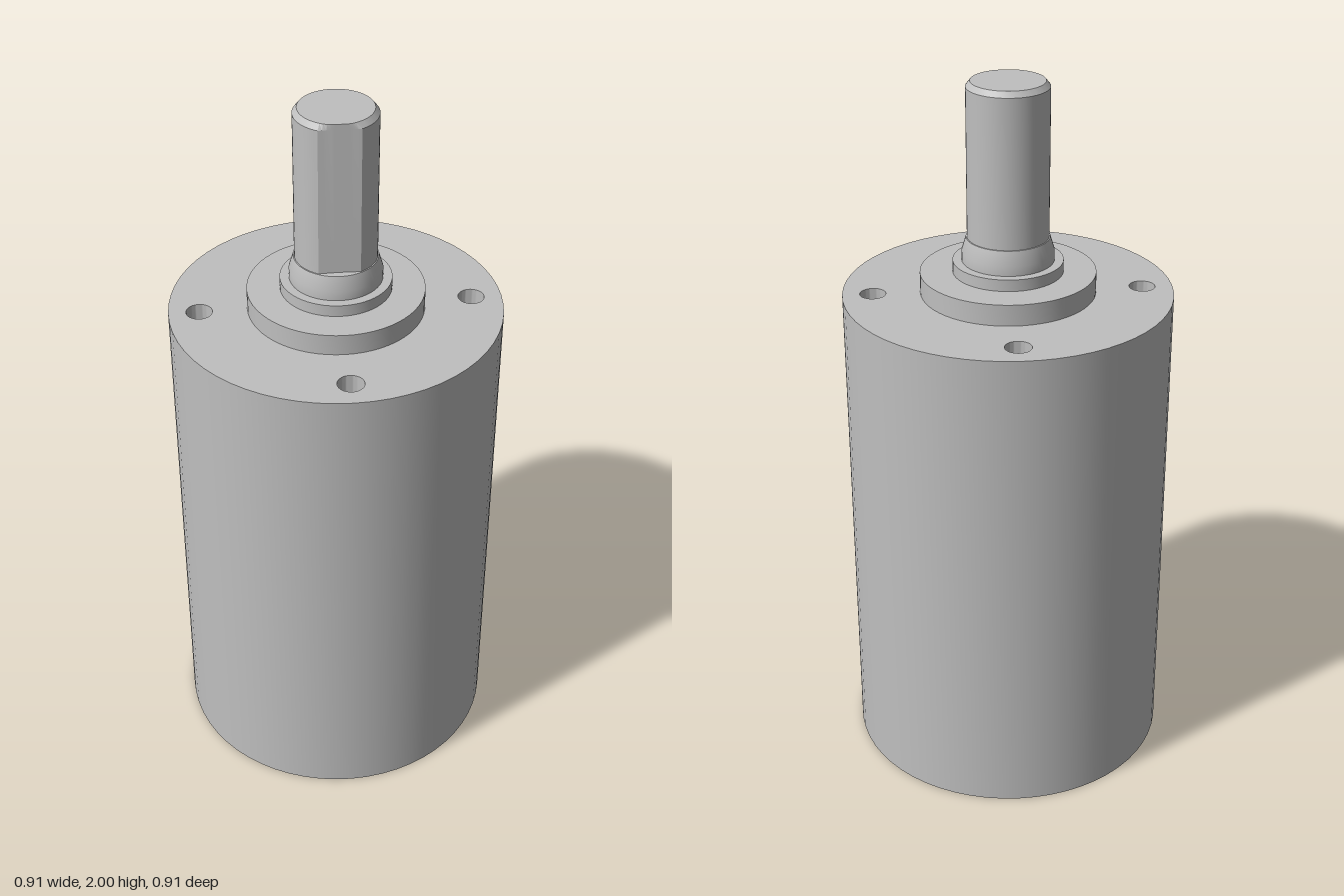
import * as THREE from 'three';
import { toCreasedNormals } from 'three/addons/utils/BufferGeometryUtils.js';

const SEGMENTS = 60;

export function createModel() {
  const model = new THREE.Group();
  model.name = 'gearboxHousing';
  const steel = new THREE.MeshStandardMaterial({ color: 0xbfbfbf });
  steel.name = 'brushed steel grey';

  function add(name, geometry, parent = model) {
    const mesh = new THREE.Mesh(geometry, steel);
    mesh.name = name;
    parent.add(mesh);
    return mesh;
  }

  // Revolved profile of [radius, height] points, solid on the left of the path
  function turned(profile, segments = SEGMENTS) {
    const points = profile.map(([r, y]) => new THREE.Vector2(r, y));
    return new THREE.LatheGeometry(points, segments);
  }
  const crisp = (geometry) => toCreasedNormals(geometry, 0.45);

  // Barrel wall with the stepped bore in its underside
  add('barrel', crisp(turned([
    [0, 0.6], [0.15, 0.6], [0.15, 0.28], [0.41, 0.28], [0.41, 0.26],
    [0.43, 0.26], [0.43, 0.15], [0.442, 0.15], [0.442, 0], [0.456, 0], [0.456, 1.41],
  ])));

  // Top face, pierced by four mounting holes around the pilot
  const holeRadius = 0.036;
  const holeCircle = 0.372;
  const face = new THREE.Shape().absarc(0, 0, 0.456, 0, Math.PI * 2);
  face.holes.push(new THREE.Path().absarc(0, 0, 0.242, 0, Math.PI * 2, true));
  const holes = new THREE.Group();
  holes.name = 'mountingHoles';
  model.add(holes);
  for (let i = 0; i < 4; i++) {
    const a = i * Math.PI / 2;
    const x = holeCircle * Math.cos(a);
    const z = holeCircle * Math.sin(a);
    face.holes.push(new THREE.Path().absarc(x, z, holeRadius, 0, Math.PI * 2, true));
    const well = crisp(turned([[holeRadius, 1.41], [holeRadius, 1.26], [0, 1.26]]));
    add('mountingHole', well, holes).position.set(x, 0, z);
  }
  add('topFace', new THREE.ShapeGeometry(face, SEGMENTS / 2)
    .rotateX(-Math.PI / 2).translate(0, 1.41, 0));

  // Pilot boss, bearing collar and tapered shaft shoulder
  add('pilotBoss', crisp(turned([[0.242, 1.41], [0.242, 1.47], [0.152, 1.47]])));
  add('bearingCollar', crisp(turned([[0.152, 1.47], [0.152, 1.503], [0.127, 1.503]])));
  add('shaftShoulder', crisp(turned([
    [0.127, 1.503], [0.127, 1.53], [0.115, 1.57], [0.09, 1.572], [0, 1.572],
  ])));

  // Chamfered output shaft, with one flat cut across its front
  const shaft = turned([[0.112, 1.56], [0.112, 1.985], [0.1, 2], [0, 2]]);
  const p = shaft.attributes.position;
  for (let i = 0; i < p.count; i++) p.setZ(i, Math.min(p.getZ(i), 0.097));
  add('outputShaft', toCreasedNormals(shaft, 0.3));

  return model;
}
